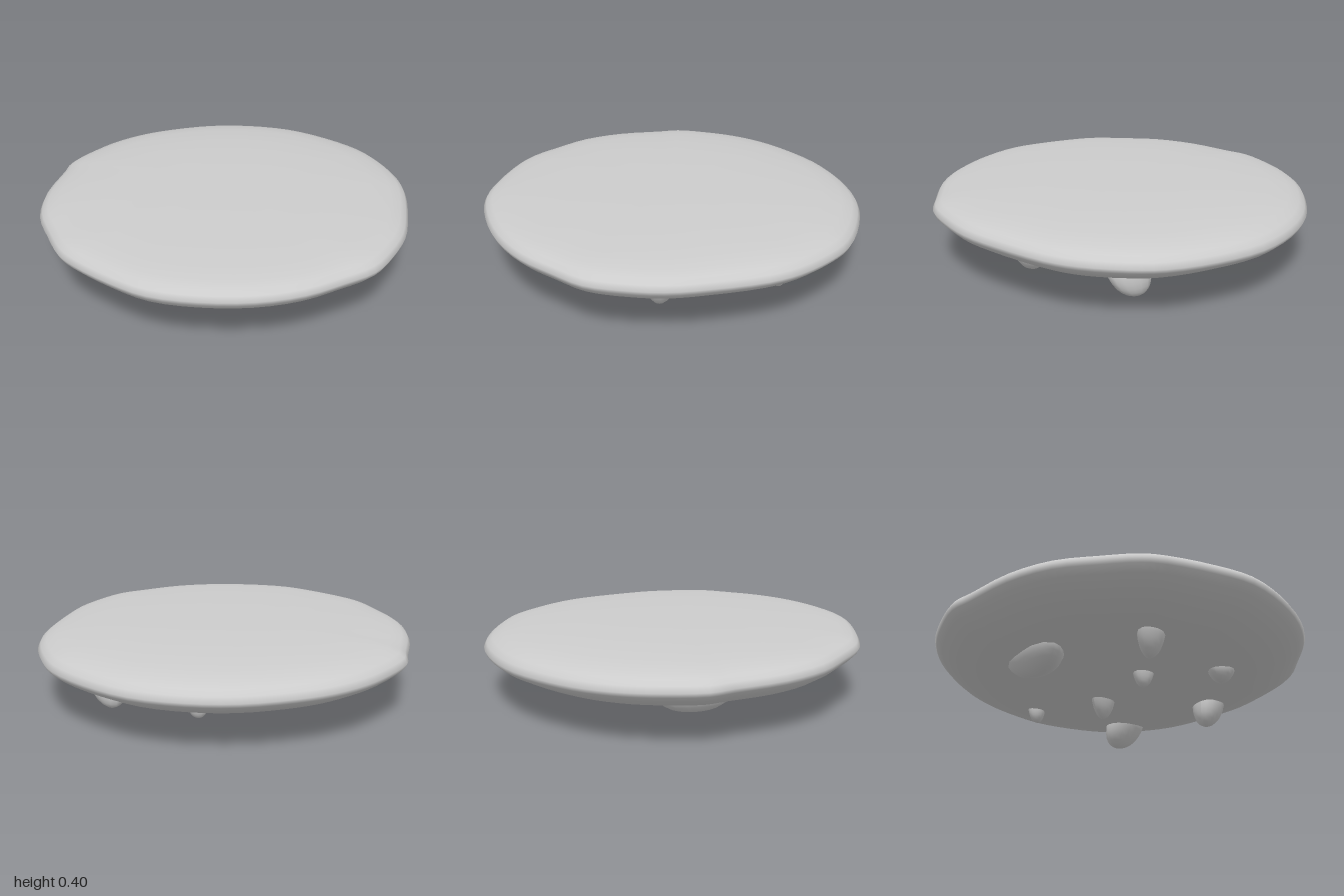
import * as THREE from 'three';

const stone = new THREE.MeshStandardMaterial({ color: 0xcccccc });
stone.name = 'paleGrey';

// Slightly uneven outline of the disc, as x, z points
const OUTLINE = [
  [1, 0.02], [0.96, 0.2], [0.9, 0.4], [0.78, 0.6], [0.6, 0.78], [0.4, 0.91], [0.2, 0.96],
  [-0.05, 0.985], [-0.17, 0.975], [-0.35, 0.91], [-0.55, 0.82], [-0.73, 0.66], [-0.88, 0.44],
  [-0.95, 0.34], [-0.99, 0.15], [-1, -0.03], [-0.97, -0.22], [-0.9, -0.4], [-0.77, -0.62],
  [-0.6, -0.79], [-0.37, -0.93], [-0.11, -0.99], [0.14, -0.995], [0.3, -0.95], [0.5, -0.85],
  [0.63, -0.74], [0.8, -0.52], [0.91, -0.34], [0.97, -0.16],
];

// Section from the underside centre, round the rim, to the top centre: scale, height
const SECTION = [
  [0, 0.105], [0.2, 0.107], [0.4, 0.116], [0.6, 0.135], [0.76, 0.163], [0.88, 0.2],
  [0.96, 0.247], [0.99, 0.275], [1, 0.298], [0.985, 0.325], [0.955, 0.345], [0.9, 0.361],
  [0.8, 0.376], [0.6, 0.389], [0.35, 0.396], [0, 0.4],
];

function makeDisc() {
  const curve = new THREE.CatmullRomCurve3(
    OUTLINE.map(([x, z]) => new THREE.Vector3(x, 0, z)), true);
  const n = 87;
  const ring = curve.getPoints(n).slice(0, n);
  const positions = [];
  const indices = [];
  SECTION.forEach(([s, y]) => ring.forEach((p) => {
    // the rim tilts a little while the middle stays level
    const tilt = s ** 6 * (0.012 * p.x + 0.014 * p.z);
    positions.push(p.x * s, y + tilt, p.z * s);
  }));
  for (let j = 0; j < SECTION.length - 1; j++) {
    for (let i = 0; i < n; i++) {
      const a = j * n + i, b = j * n + (i + 1) % n;
      if (j > 0) indices.push(a, b + n, b);
      if (j < SECTION.length - 2) indices.push(a, a + n, b + n);
      else indices.push(a, a + n, b);
      if (j === 0) indices.splice(-3, 3, a, a + n, b + n);
    }
  }
  const geometry = new THREE.BufferGeometry();
  geometry.setAttribute('position', new THREE.Float32BufferAttribute(positions, 3));
  geometry.setIndex(indices);
  geometry.computeVertexNormals();
  // the two centres are collapsed rings, so set their normals outright
  const normal = geometry.attributes.normal;
  for (let i = 0; i < n; i++) {
    normal.setXYZ(i, 0, -1, 0);
    normal.setXYZ((SECTION.length - 1) * n + i, 0, 1, 0);
  }
  return geometry;
}

// Lumps under the disc: x, z, half length, half width, lowest y, turn, lean in x, lean in z
const LUMPS = [
  [0.56, -0.17, 0.1, 0.085, 0.0, 0.8, -0.03, 0.02],
  [0.19, -0.62, 0.12, 0.08, 0.01, 0.35, -0.04, -0.03],
  [0.46, 0.28, 0.085, 0.07, 0.075, 0.8, 0, 0],
  [-0.06, -0.19, 0.075, 0.06, 0.012, 0.6, 0.01, -0.03],
  [0.06, 0.2, 0.06, 0.055, 0.035, 0, 0, 0],
  [-0.37, -0.51, 0.055, 0.045, 0.068, 0.8, 0, 0],
  [-0.01, 0.58, 0.08, 0.065, 0.03, 0.8, 0, -0.03],
  [-0.5, 0.2, 0.2, 0.1, 0.04, -1.1, 0.02, 0],
];

function makeLump([x, z, a, b, low, turn, leanX, leanZ], seed) {
  const top = 0.16;
  const geometry = new THREE.SphereGeometry(1, 16, 14);
  const p = geometry.attributes.position;
  const v = new THREE.Vector3();
  for (let i = 0; i < p.count; i++) {
    v.fromBufferAttribute(p, i);
    // soft irregular swelling keeps each lump hand-shaped
    const angle = Math.atan2(v.z, v.x);
    const swell = 1 + 0.07 * Math.sin(3 * angle + seed * 1.7);
    v.set(v.x * a * swell, v.y * (top - low), v.z * b * swell);
    v.applyAxisAngle(THREE.Object3D.DEFAULT_UP, turn);
    const depth = Math.max(0, -v.y / (top - low));
    p.setXYZ(i, x + v.x + leanX * depth, Math.min(top + v.y, 0.2), z + v.z + leanZ * depth);
  }
  geometry.computeVertexNormals();
  return geometry;
}

export function createModel() {
  const model = new THREE.Group();
  model.name = 'roundSlab';

  const disc = new THREE.Mesh(makeDisc(), stone);
  disc.name = 'disc';
  model.add(disc);

  const lumps = new THREE.Group();
  lumps.name = 'undersideLumps';
  LUMPS.forEach((spec, i) => {
    const lump = new THREE.Mesh(makeLump(spec, i), stone);
    lump.name = `lump${i + 1}`;
    lumps.add(lump);
  });
  model.add(lumps);
  return model;
}
